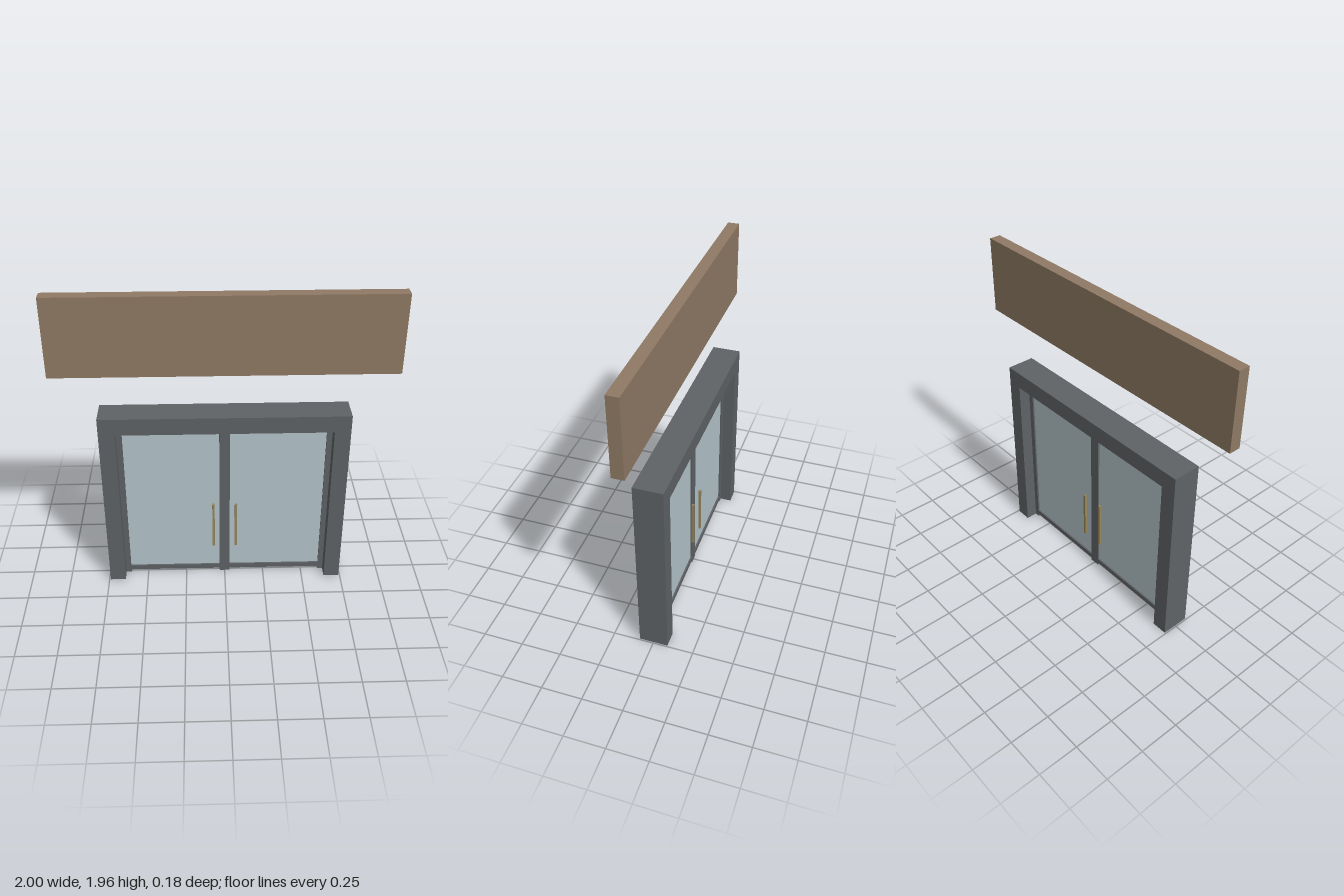
import * as THREE from 'three';

const mat = (name, color) => {
  const m = new THREE.MeshStandardMaterial({ color });
  m.name = name;
  return m;
};

export function createModel() {
  const frameGrey = mat('frame grey', 0x5f6366);
  const panelBrown = mat('panel brown', 0x8f7a64);
  const glassBlue = mat('glass blue', 0xb4c4ca);
  const brass = mat('brass', 0x96865a);

  const root = new THREE.Group();
  root.name = 'storefrontEntrance';

  // Box given by its extents on each axis
  const box = (parent, name, material, [x0, x1], [y0, y1], [z0, z1]) => {
    const mesh = new THREE.Mesh(new THREE.BoxGeometry(x1 - x0, y1 - y0, z1 - z0), material);
    mesh.position.set((x0 + x1) / 2, (y0 + y1) / 2, (z0 + z1) / 2);
    mesh.name = name;
    parent.add(mesh);
  };

  // Panel floating above the doorway
  box(root, 'signPanel', panelBrown, [-1, 1], [1.475, 1.955], [0.012, 0.083]);

  // Deep portal surround, as one extruded arch outline
  const W = 0.742, H = 1.203, IW = 0.645, IH = 1.096, D = 0.088;
  const outline = new THREE.Shape([
    [-W, 0], [-IW, 0], [-IW, IH], [IW, IH], [IW, 0], [W, 0], [W, H], [-W, H],
  ].map(([x, y]) => new THREE.Vector2(x, y)));
  const portal = new THREE.Mesh(
    new THREE.ExtrudeGeometry(outline, { depth: 2 * D, bevelEnabled: false }), frameGrey);
  portal.position.z = -D;
  portal.name = 'portalFrame';
  root.add(portal);

  // Two glazed leaves, mirrored about the middle
  for (const side of [-1, 1]) {
    const leaf = new THREE.Group();
    leaf.name = side < 0 ? 'rightDoor' : 'leftDoor';
    root.add(leaf);
    const span = (a, b) => (side > 0 ? [a, b] : [-b, -a]);
    const thick = [-0.015, 0.015];

    box(leaf, 'meetingStile', frameGrey, span(0, 0.032), [0, 1.083], thick);
    box(leaf, 'outerStile', frameGrey, span(0.612, IW), [0, 1.083], thick);
    box(leaf, 'topRail', frameGrey, span(0.032, 0.612), [1.051, 1.083], thick);
    box(leaf, 'bottomRail', frameGrey, span(0.032, 0.612), [0.019, 0.051], thick);
    box(leaf, 'glass', glassBlue, span(0.032, 0.612), [0.051, 1.051], [-0.005, 0.005]);

    // Pull bars on both faces
    box(leaf, 'frontHandle', brass, span(0.063, 0.078), [0.228, 0.55], [0.027, 0.041]);
    box(leaf, 'backHandle', brass, span(0.063, 0.078), [0.228, 0.55], [-0.041, -0.027]);
  }
  return root;
}
